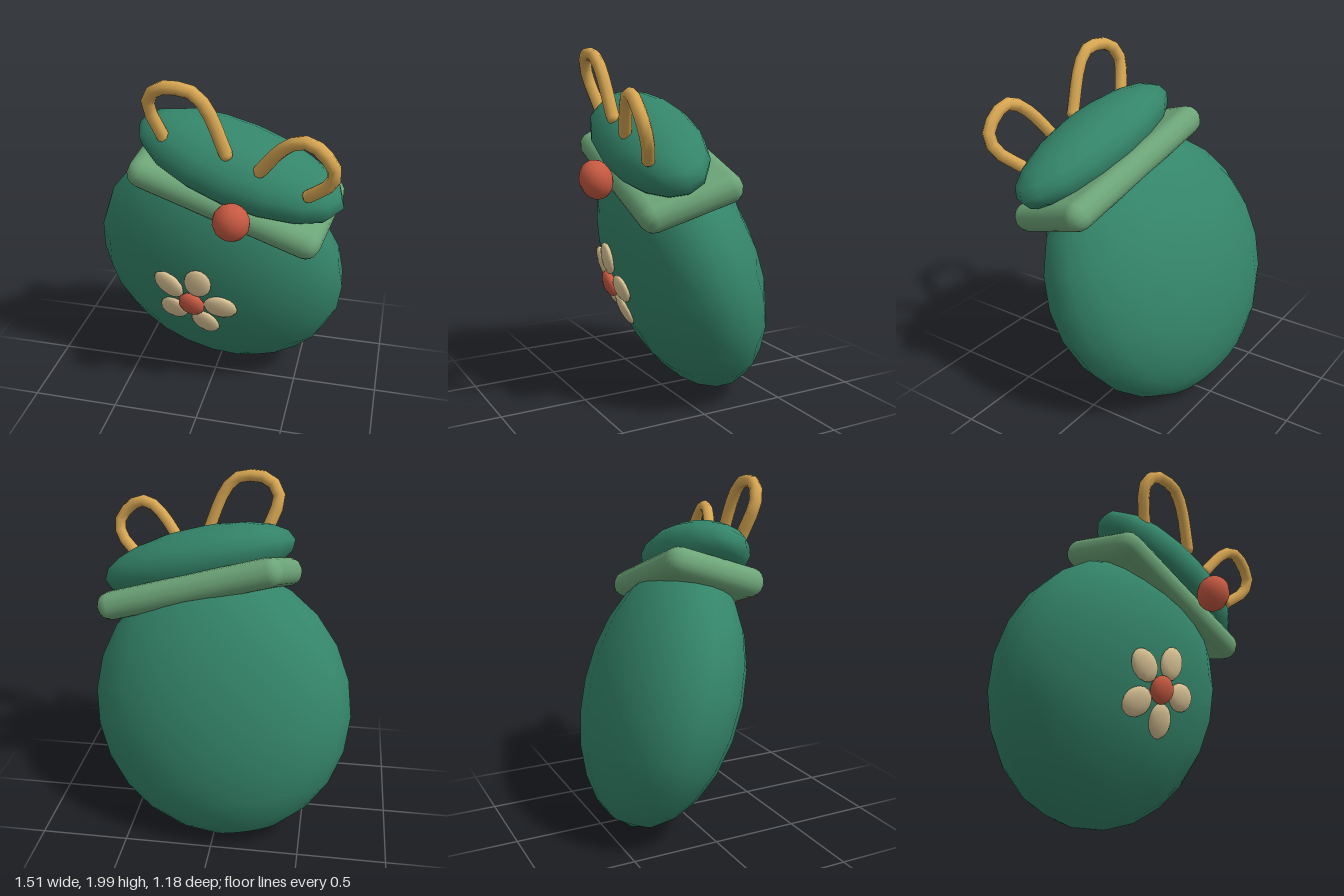
import * as THREE from 'three';
import { RoundedBoxGeometry } from 'three/addons/geometries/RoundedBoxGeometry.js';

const mat = (name, color) => {
  const m = new THREE.MeshStandardMaterial({ color });
  m.name = name;
  return m;
};

export function createModel() {
  const green = mat('bag green', 0x34856a);
  const sage = mat('collar sage', 0x6da578);
  const gold = mat('cord gold', 0xd8a752);
  const red = mat('bead red', 0xc85a42);
  const cream = mat('petal cream', 0xdcc596);

  const model = new THREE.Group();
  model.name = 'drawstringPouch';

  const add = (parent, name, geometry, material, x = 0, y = 0, z = 0) => {
    const mesh = new THREE.Mesh(geometry, material);
    mesh.name = name;
    mesh.position.set(x, y, z);
    parent.add(mesh);
    return mesh;
  };
  const ellipsoid = (rx, ry, rz, w = 16, h = 10) =>
    new THREE.SphereGeometry(1, w, h).scale(rx, ry, rz);

  // Leaning pouch: body, collar, gathered top and bead share one tilted frame
  const pouch = new THREE.Group();
  pouch.name = 'pouch';
  pouch.position.set(0, 0.755, -0.115);
  pouch.rotation.set(0.32, -0.18, -0.25);
  model.add(pouch);

  add(pouch, 'body', ellipsoid(0.765, 0.78, 0.415, 20, 12), green);
  add(pouch, 'collar', new RoundedBoxGeometry(1.12, 0.165, 0.58, 2, 0.08), sage, -0.015, 0.665, 0);
  add(pouch, 'gatheredTop', ellipsoid(0.595, 0.19, 0.268), green, -0.02, 0.825, 0.02);
  add(pouch, 'bead', ellipsoid(0.1, 0.11, 0.09, 14, 10), red, 0.08, 0.765, 0.365);

  // Five-petal flower lying on the front of the body
  const flower = new THREE.Group();
  flower.name = 'flower';
  flower.position.set(-0.005, 0.04, 0.41);
  pouch.add(flower);
  for (let i = 0; i < 5; i++) {
    const arm = new THREE.Group();
    arm.name = 'petalArm';
    arm.rotation.z = Math.PI / 2 + (i * Math.PI * 2) / 5;
    flower.add(arm);
    const petal = add(arm, 'petal', ellipsoid(0.1, 0.08, 0.03, 12, 8), cream, 0.17, 0, -0.005);
    petal.rotation.y = 0.12;
  }
  add(flower, 'flowerCentre', ellipsoid(0.08, 0.08, 0.04, 12, 8), red, 0, 0, 0.02);

  // Two cord loops rising from the gathered top
  const loops = {
    rightCordLoop: [
      [-0.21, 1.66, 0.29], [-0.275, 1.86, 0.34], [-0.22, 1.945, 0.37], [-0.12, 1.965, 0.39],
      [-0.02, 1.945, 0.395], [0.05, 1.86, 0.39], [0.14, 1.63, 0.37],
    ],
    leftCordLoop: [
      [0.32, 1.56, 0.385], [0.42, 1.69, 0.43], [0.5, 1.755, 0.46], [0.585, 1.765, 0.475],
      [0.7, 1.65, 0.48], [0.69, 1.56, 0.45], [0.575, 1.45, 0.385],
    ],
  };
  for (const [name, points] of Object.entries(loops)) {
    const loop = new THREE.Group();
    loop.name = name;
    model.add(loop);
    const path = new THREE.CatmullRomCurve3(points.map((p) => new THREE.Vector3(...p)));
    add(loop, 'cord', new THREE.TubeGeometry(path, 12, 0.036, 8), gold);
    for (const end of [points[0], points[points.length - 1]])
      add(loop, 'cordEnd', new THREE.SphereGeometry(0.036, 8, 6), gold, ...end);
  }

  return model;
}
